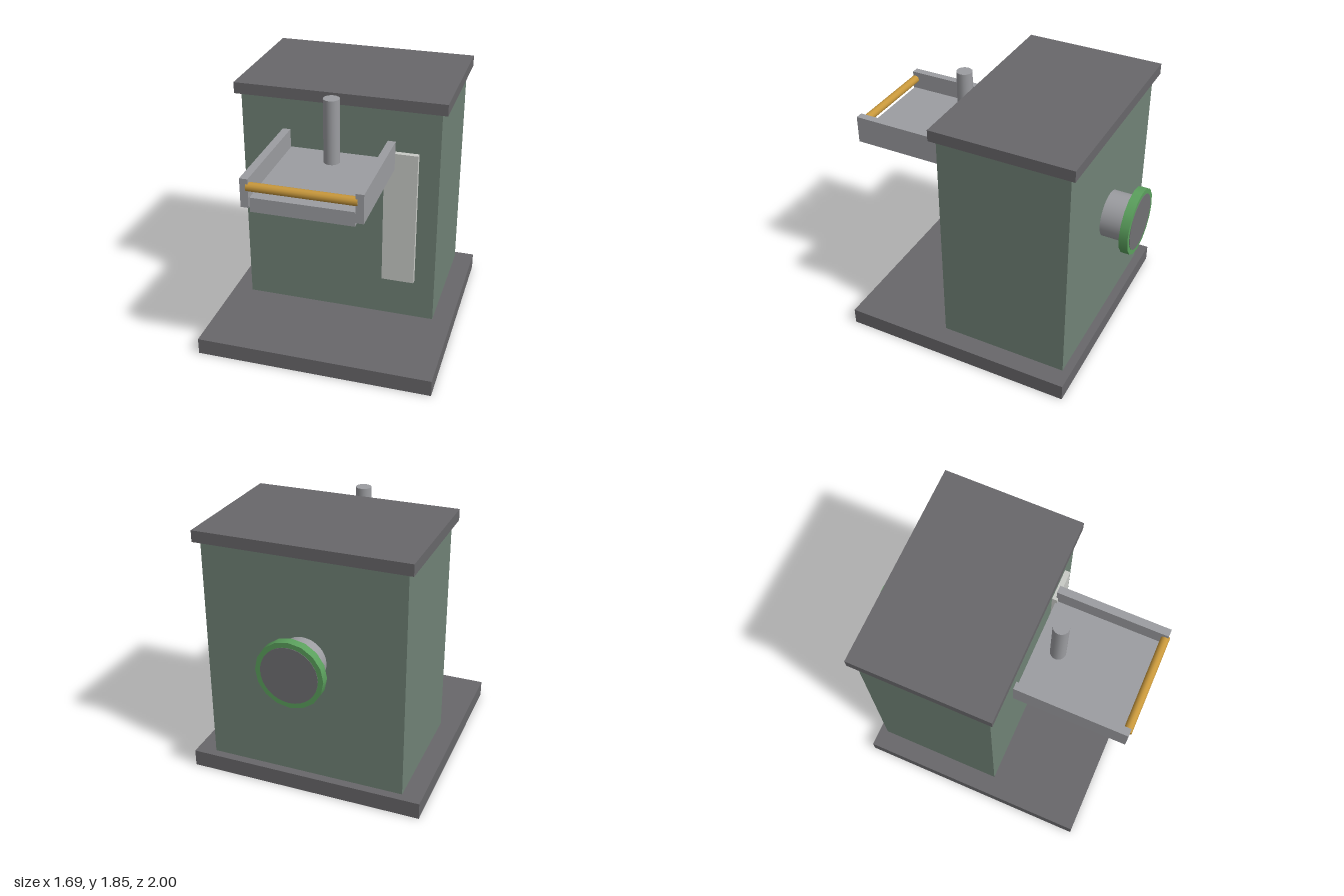
import * as THREE from 'three';

const material = (name, color) => {
  const m = new THREE.MeshStandardMaterial({ color });
  m.name = name;
  return m;
};

export function createModel() {
  const model = new THREE.Group();
  model.name = 'feedingMachine';

  const darkGrey = material('dark grey', 0x68676a);
  const housingGreen = material('housing green', 0x708276);
  const steel = material('steel', 0x9c9da1);
  const amber = material('amber', 0xc8983c);
  const paleGrey = material('pale grey', 0xc8cac6);
  const brightGreen = material('bright green', 0x5ba05d);
  const grilleGrey = material('grille grey', 0x707073);

  const add = (name, geometry, mat) => {
    const mesh = new THREE.Mesh(geometry, mat);
    mesh.name = name;
    model.add(mesh);
    return mesh;
  };

  // Box given by its limits on each axis
  const box = (name, mat, [x0, x1], [y0, y1], [z0, z1]) => {
    const mesh = add(name, new THREE.BoxGeometry(x1 - x0, y1 - y0, z1 - z0), mat);
    mesh.position.set((x0 + x1) / 2, (y0 + y1) / 2, (z0 + z1) / 2);
  };

  // Cylinder lying along z between two depths
  const barrel = (name, mat, r, y, z0, z1, sides) => {
    const g = new THREE.CylinderGeometry(r, r, z1 - z0, sides).rotateX(Math.PI / 2);
    add(name, g, mat).position.set(0, y, (z0 + z1) / 2);
  };

  // Housing on its base, with a cap
  box('base', darkGrey, [-0.845, 0.845], [0, 0.12], [-0.83, 0.865]);
  box('housing', housingGreen, [-0.705, 0.705], [0.12, 1.745], [-0.77, 0.16]);
  box('cap', darkGrey, [-0.745, 0.745], [1.745, 1.825], [-0.81, 0.195]);
  box('frontPanel', paleGrey, [0.325, 0.56], [0.43, 1.435], [0.16, 0.198]);

  // Tray with side rails, cross bar and post
  box('tray', steel, [-0.342, 0.342], [1.29, 1.39], [0.185, 0.98]);
  for (const s of [-1, 1]) {
    box(s > 0 ? 'leftRail' : 'rightRail', steel,
      s > 0 ? [0.345, 0.4] : [-0.4, -0.345], [1.32, 1.52], [0.185, 0.988]);
  }
  const bar = add('crossBar',
    new THREE.CylinderGeometry(0.03, 0.03, 0.72, 12).rotateZ(Math.PI / 2), amber);
  bar.position.set(0, 1.462, 0.97);
  const post = add('post', new THREE.CylinderGeometry(0.056, 0.056, 0.46, 16), steel);
  post.position.set(0, 1.615, 0.342);

  // Rear outlet with flange and grille
  barrel('outletPipe', steel, 0.165, 1.015, -0.95, -0.77, 32);
  barrel('outletFlange', brightGreen, 0.237, 1.015, -0.997, -0.935, 16);
  barrel('outletGrille', grilleGrey, 0.2, 1.015, -1, -0.995, 32);

  return model;
}
